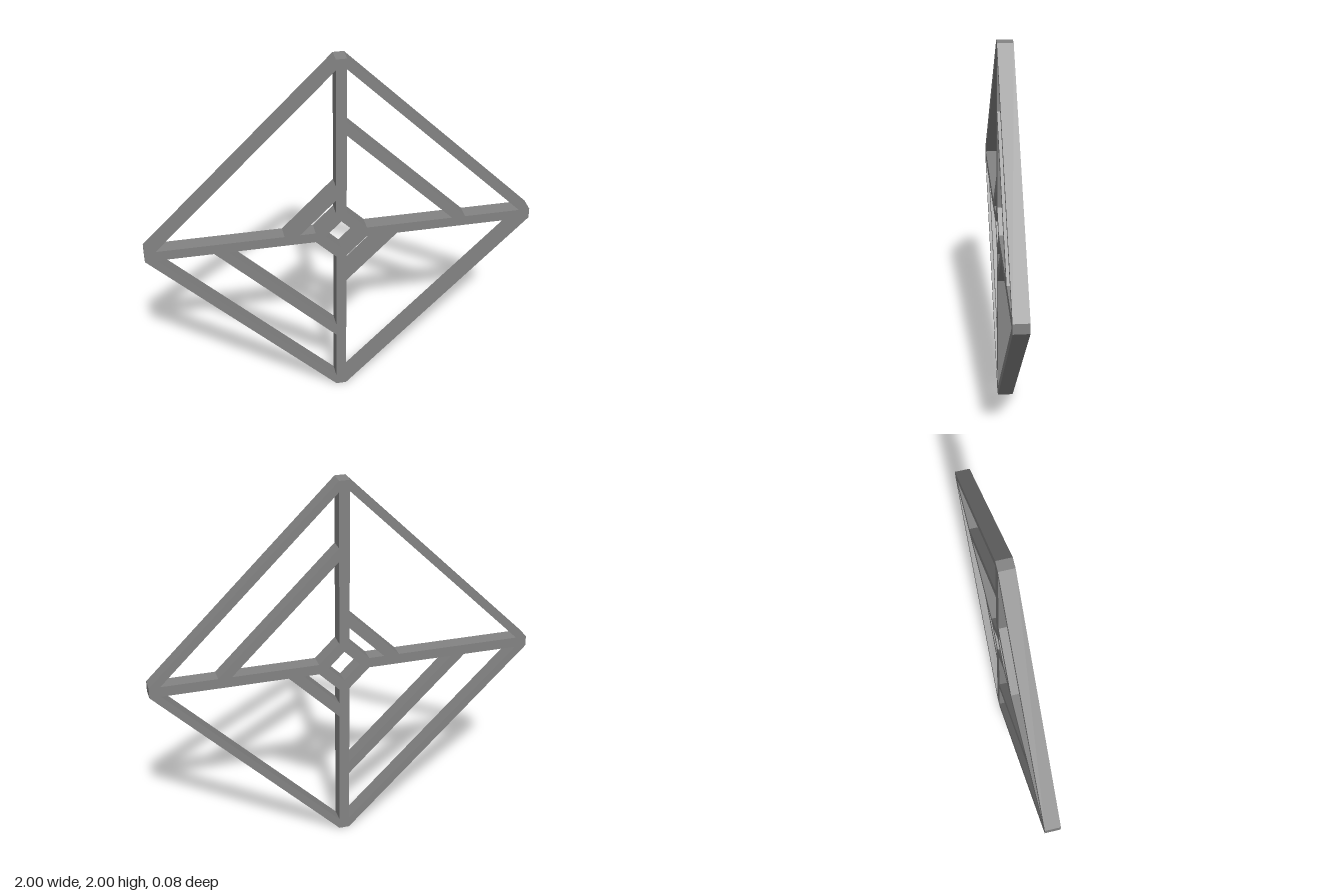
import * as THREE from 'three';

const DEPTH = 0.08;   // thickness of the whole lattice
const H = 0.027;      // half width of a spoke
const material = new THREE.MeshStandardMaterial({ color: 0x838383, flatShading: true });

const toPoints = (list) => list.map(([x, y]) => new THREE.Vector2(x, y));

// Flat bar or ring cut from a plate, centred on z = 0
function plate(name, outline, hole) {
  const shape = new THREE.Shape(toPoints(outline));
  if (hole) shape.holes.push(new THREE.Path(toPoints(hole)));
  const geometry = new THREE.ExtrudeGeometry(shape, { depth: DEPTH, bevelEnabled: false });
  geometry.translate(0, 0, -DEPTH / 2);
  const mesh = new THREE.Mesh(geometry, material);
  mesh.name = name;
  return mesh;
}

// Diamond with its tips at distance r
const diamond = (r) => [[r, 0], [0, r], [-r, 0], [0, -r]];

// Diamond with tips cut flat to the spoke width
function bluntDiamond(r) {
  const a = r - H;
  return [[a, -H], [a, H], [H, a], [-H, a], [-a, H], [-a, -H], [-H, -a], [H, -a]];
}

export function createModel() {
  const group = new THREE.Group();
  group.name = 'diamondLattice';
  const lattice = new THREE.Group();
  lattice.name = 'lattice';
  lattice.position.y = 1;
  group.add(lattice);

  // Outer frame and small hub ring
  const outer = 1 + H, outerInside = 0.97, hub = 0.16;
  lattice.add(plate('outerFrame', bluntDiamond(outer), diamond(outerInside)));
  lattice.add(plate('hubRing', bluntDiamond(hub), diamond(0.083)));

  for (let i = 0; i < 4; i++) {
    // Spoke from the hub to the frame corner
    const spoke = plate('spoke', [
      [hub - H, -H], [outerInside - H, -H], [outerInside, 0],
      [outerInside - H, H], [hub - H, H],
    ]);
    // Diagonal brace: far from the hub in two quadrants, near it in the others
    const [inside, outside] = i % 2 ? [0.24, 0.32] : [0.61, 0.68];
    const brace = plate(i % 2 ? 'innerBrace' : 'outerBrace', [
      [inside - H, H], [outside - H, H], [H, outside - H], [H, inside - H],
    ]);
    for (const part of [spoke, brace]) {
      part.rotation.z = i * Math.PI / 2;
      lattice.add(part);
    }
  }
  return group;
}
